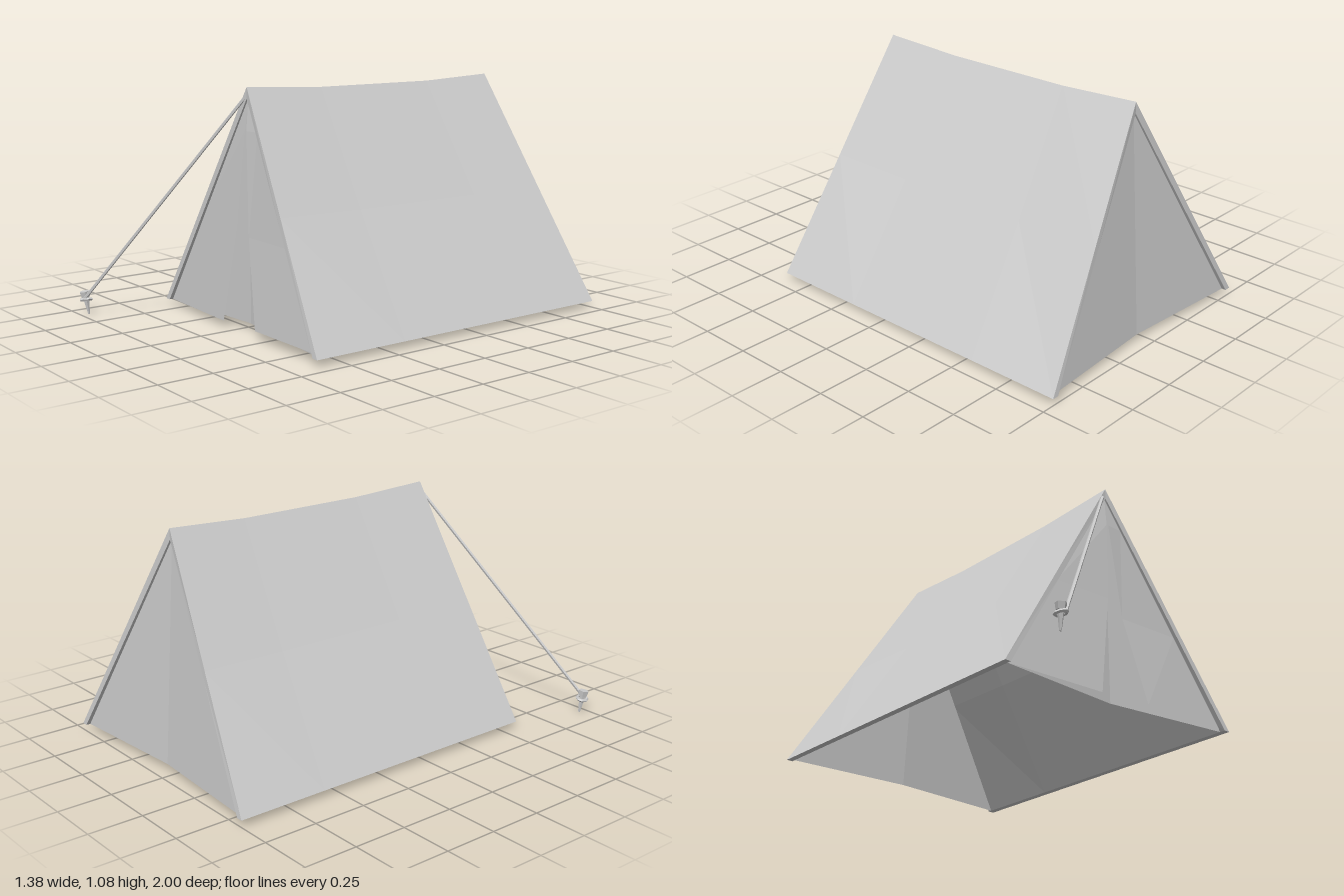
import * as THREE from 'three';

const material = new THREE.MeshStandardMaterial({ color: 0xcccccc, flatShading: true, side: THREE.DoubleSide });
const lerp = THREE.MathUtils.lerp;
const RIDGE_X = 0.05, BASE_Y = 0.03;

// Collects quads (corners counter-clockwise from outside) into one geometry.
function quadMesh(name, quads) {
  const pos = [];
  for (const [a, b, c, d] of quads) pos.push(...a, ...b, ...c, ...a, ...c, ...d);
  const geo = new THREE.BufferGeometry();
  geo.setAttribute('position', new THREE.Float32BufferAttribute(pos, 3));
  geo.computeVertexNormals();
  const mesh = new THREE.Mesh(geo, material);
  mesh.name = name;
  return mesh;
}

// Sheet through rows of points, each row running left to right on screen, bottom row first.
function sheet(name, rows) {
  const quads = [];
  for (let i = 0; i + 1 < rows.length; i++)
    for (let j = 0; j + 1 < rows[i].length; j++)
      quads.push([rows[i][j], rows[i][j + 1], rows[i + 1][j + 1], rows[i + 1][j]]);
  return quadMesh(name, quads);
}

// Folded roof cloth with thickness, a sagging ridge and flared ends.
function makeRoof() {
  const stations = [[0, 1.08, 0], [0.285, 1.062, 0.008], [0.73, 1.062, 0.008], [1, 1.08, 0]];
  const loops = stations.map(([s, top, sag]) => {
    const point = (side, h, inner) => {
      const half = (inner ? 0.61 : 0.64) * (1 - h);
      const pinch = h === 0.5 ? sag : 0;
      const front = lerp(side > 0 ? 0.63 : 0.58, 0.53, h);
      const back = lerp(-1, -0.88, h);
      return [RIDGE_X + side * (half - pinch), lerp(BASE_Y, top - (inner ? 0.05 : 0), h), lerp(front, back, s)];
    };
    const profile = inner => [point(-1, 0, inner), point(-1, 0.5, inner), point(1, 1, inner),
      point(1, 0.5, inner), point(1, 0, inner)];
    return [...profile(false), ...profile(true).reverse()];
  });
  const quads = [];
  for (let i = 0; i < 3; i++)
    for (let j = 0; j < 10; j++) {
      const k = (j + 1) % 10;
      quads.push([loops[i][j], loops[i][k], loops[i + 1][k], loops[i + 1][j]]);
    }
  // gable rims at both ends
  const f = loops[0], b = loops[3];
  for (let j = 0; j < 4; j++) {
    quads.push([f[j], f[9 - j], f[8 - j], f[j + 1]]);
    quads.push([b[j], b[j + 1], b[8 - j], b[9 - j]]);
  }
  return quadMesh('roof', quads);
}

// Gable wall bowed inwards along its middle.
function makeWall(name, zLeft, zRight, zMid, zTop, flip) {
  const rows = [0, 0.5, 1].map(h => {
    const half = 0.61 * (1 - h), y = lerp(BASE_Y, 1.03, h);
    const row = [
      [RIDGE_X - half, y, lerp(zLeft, zTop, h)],
      [RIDGE_X, y, lerp(zMid, zTop, h)],
      [RIDGE_X + half, y, lerp(zRight, zTop, h)]];
    return flip ? row.reverse() : row;
  });
  return sheet(name, rows);
}

// Door flap hanging from the gable to its free edge.
function makeFlap(name, side, edge) {
  const rows = edge.map(p => {
    const h = (p[1] - BASE_Y) / (1.03 - BASE_Y);
    const outer = [RIDGE_X + side * 0.61 * (1 - h), Math.max(p[1], BASE_Y),
      lerp(side > 0 ? 0.605 : 0.562, 0.522, h)];
    return side < 0 ? [outer, p] : [p, outer];
  });
  return sheet(name, rows);
}

// Tapered peg with a flat head, leaning slightly.
function makePeg() {
  const peg = new THREE.Group();
  peg.name = 'peg';
  const add = (name, geo, y) => {
    const mesh = new THREE.Mesh(geo, material);
    mesh.name = name;
    mesh.position.y = y;
    peg.add(mesh);
    return mesh;
  };
  add('pegShaft', new THREE.CylinderGeometry(0.016, 0.005, 0.09, 5), 0.045);
  add('pegHead', new THREE.CylinderGeometry(0.025, 0.02, 0.028, 5), 0.096);
  const loop = add('ropeLoop', new THREE.TorusGeometry(0.024, 0.008, 5, 8), 0.07);
  loop.rotation.set(Math.PI / 2 - 0.2, 0.15, 0);
  peg.position.set(-0.65, 0, 0.96);
  peg.rotation.set(0.14, 0, 0.08);
  return peg;
}

export function createModel() {
  const tent = new THREE.Group();
  tent.name = 'tent';
  tent.add(makeRoof());
  tent.add(makeWall('frontWall', 0.56, 0.603, 0.52, 0.52, false));
  tent.add(makeWall('backWall', -0.98, -0.98, -0.94, -0.87, true));
  tent.add(makeFlap('rightFlap', -1,
    [[-0.065, 0.03, 0.59], [0.015, 0.5, 0.56], [0.045, 0.89, 0.537], [0.05, 1.03, 0.522]]));
  tent.add(makeFlap('leftFlap', 1,
    [[0.2, 0.04, 0.6], [0.1, 0.43, 0.56], [0.055, 0.89, 0.537], [0.05, 1.03, 0.522]]));

  // guy rope from the ridge to the peg
  const path = new THREE.LineCurve3(new THREE.Vector3(0.03, 1.03, 0.53), new THREE.Vector3(-0.645, 0.075, 0.985));
  const rope = new THREE.Mesh(new THREE.TubeGeometry(path, 1, 0.008, 5), material);
  rope.name = 'guyRope';
  tent.add(rope, makePeg());
  return tent;
}
